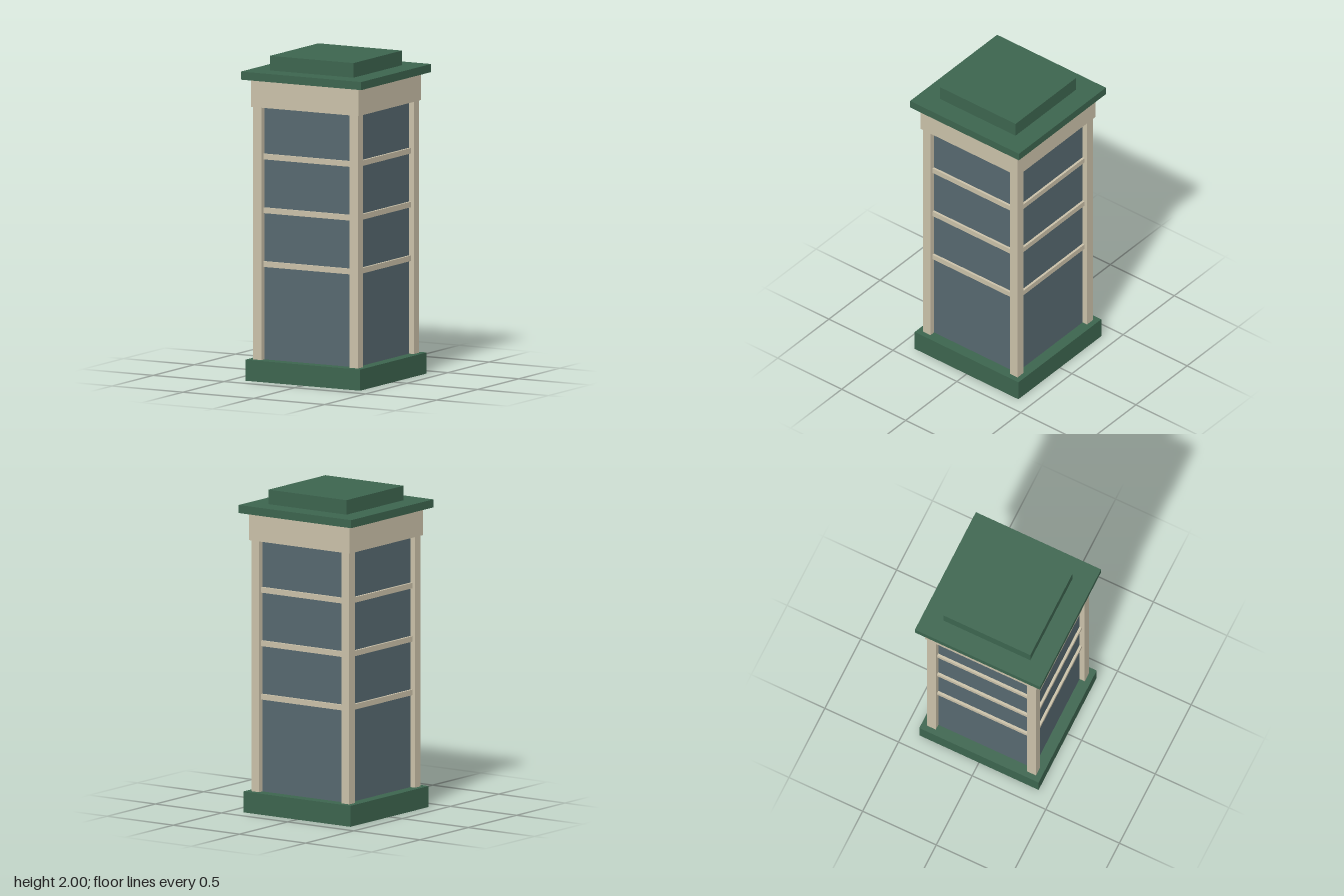
import * as THREE from 'three';

export function createModel() {
  const model = new THREE.Group();
  model.name = 'glazedTower';

  const mat = (name, color) => {
    const m = new THREE.MeshStandardMaterial({ color });
    m.name = name;
    return m;
  };
  const green = mat('green', 0x3c644e);
  const cream = mat('cream', 0xc9c0a8);
  const glass = mat('slateGlass', 0x56686f);

  // Box given by its size, bottom and top heights, and centre
  const box = (name, material, w, d, y0, y1, x = 0, z = 0, parent = model) => {
    const mesh = new THREE.Mesh(new THREE.BoxGeometry(w, y1 - y0, d), material);
    mesh.position.set(x, (y0 + y1) / 2, z);
    mesh.name = name;
    parent.add(mesh);
    return mesh;
  };

  // Stacked square tiers
  box('base', green, 0.81, 0.81, 0, 0.13);
  box('glassCore', glass, 0.67, 0.67, 0.13, 1.69);
  box('cornice', cream, 0.76, 0.76, 1.69, 1.86);
  box('roofSlab', green, 0.85, 0.85, 1.86, 1.91);
  box('roofCap', green, 0.59, 0.59, 1.91, 2);

  // Corner posts
  for (const x of [-0.34, 0.34])
    for (const z of [-0.34, 0.34])
      box('cornerPost', cream, 0.06, 0.06, 0.13, 1.69, x, z);

  // Three glazing bars on each side
  for (let side = 0; side < 4; side++) {
    const bars = new THREE.Group();
    bars.name = 'glazingBars';
    bars.rotation.y = (side * Math.PI) / 2;
    for (const y of [0.72, 1.052, 1.384])
      box('glazingBar', cream, 0.62, 0.03, y - 0.017, y + 0.017, 0, 0.335, bars);
    model.add(bars);
  }
  return model;
}
